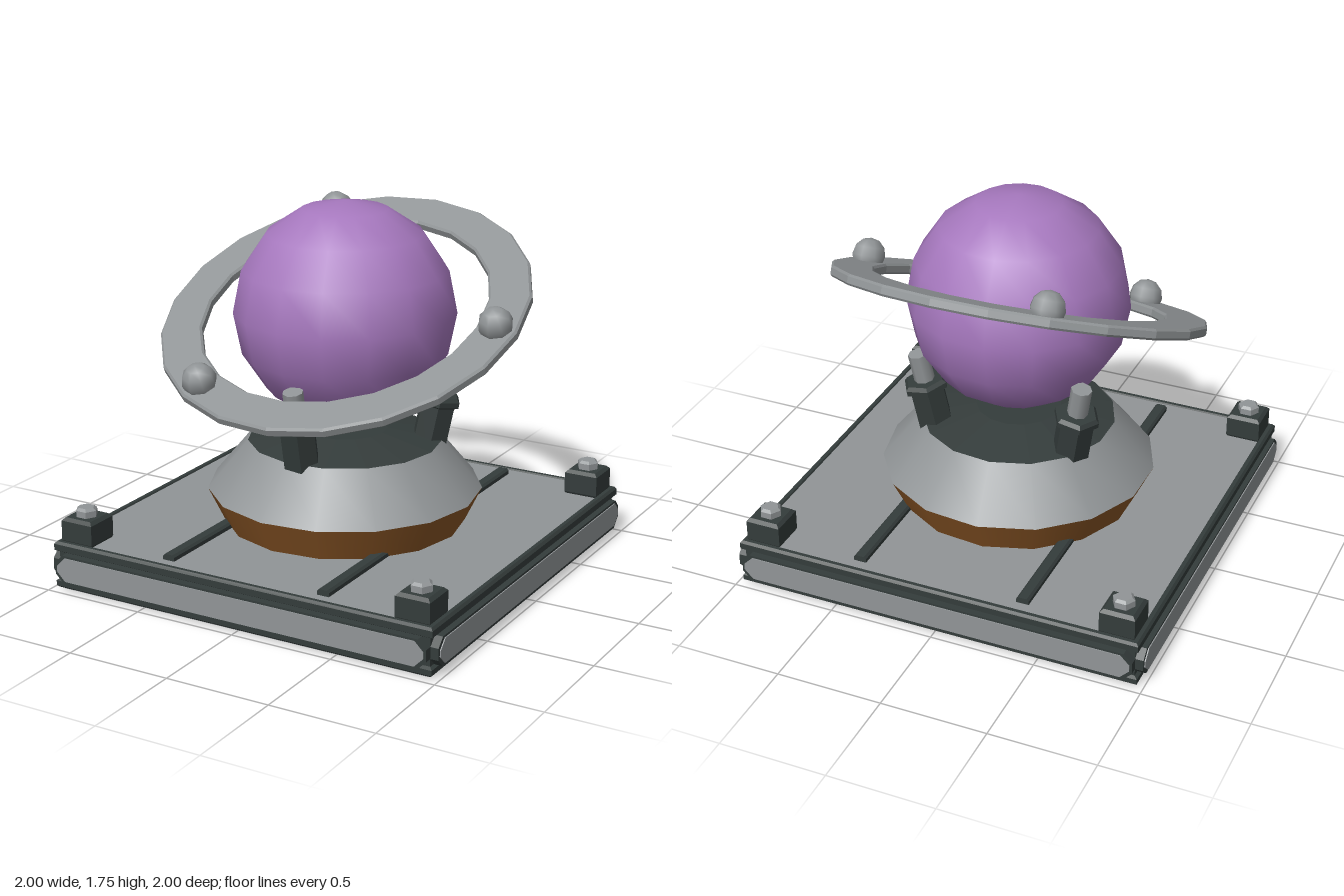
import * as THREE from 'three';

const gray = new THREE.MeshStandardMaterial({ color: 0x919597 });
const dark = new THREE.MeshStandardMaterial({ color: 0x343c3b });
const brown = new THREE.MeshStandardMaterial({ color: 0x8c5726 });
const purple = new THREE.MeshStandardMaterial({ color: 0xa678be });
gray.name = 'metalGray';
dark.name = 'darkMetal';
brown.name = 'brown';
purple.name = 'purple';

// Facet a geometry so that its edges stay sharp
function flat(geometry) {
  const g = geometry.index ? geometry.toNonIndexed() : geometry;
  g.computeVertexNormals();
  return g;
}

function add(parent, name, geometry, material, x = 0, y = 0, z = 0) {
  const mesh = new THREE.Mesh(geometry, material);
  mesh.name = name;
  mesh.position.set(x, y, z);
  parent.add(mesh);
  return mesh;
}

// Turned profile of [radius, y] points, with a corner on +x
function turned(points, sides) {
  const pts = points.map(([r, y]) => new THREE.Vector2(r, y));
  return new THREE.LatheGeometry(pts, sides).rotateY(Math.PI / 2);
}

// Square profile of [halfWidth, y] points
function squared(points) {
  const pts = points.map(([h, y]) => [h * Math.SQRT2, y]);
  return flat(turned(pts, 4).rotateY(Math.PI / 4));
}

// Long plate with clipped corners, facing +z
function clippedPlate(w, y0, y1, clip, depth) {
  const s = new THREE.Shape();
  s.moveTo(-w + clip, y0);
  s.lineTo(w - clip, y0);
  s.lineTo(w, y0 + clip);
  s.lineTo(w, y1 - clip);
  s.lineTo(w - clip, y1);
  s.lineTo(-w + clip, y1);
  s.lineTo(-w, y1 - clip);
  s.lineTo(-w, y0 + clip);
  return new THREE.ExtrudeGeometry(s, { depth, bevelEnabled: false });
}

function createBase() {
  const base = new THREE.Group();
  base.name = 'base';
  // Dark rim with a lower and an upper rail
  add(base, 'baseFrame', squared([
    [0.935, 0.004], [0.96, 0.01], [0.972, 0.02], [0.972, 0.045], [0.957, 0.055], [0.957, 0.185],
    [0.975, 0.195], [0.975, 0.225], [0.965, 0.237], [0.947, 0.237], [0.94, 0.225],
  ]), dark);
  add(base, 'basePlate', new THREE.BoxGeometry(1.89, 0.23, 1.89), gray, 0, 0.115, 0);

  // Side panels
  for (let i = 0; i < 4; i++) {
    const side = new THREE.Group();
    side.name = 'side' + (i + 1);
    side.rotation.y = i * Math.PI / 2;
    add(side, 'panelFrame', clippedPlate(0.957, 0.05, 0.185, 0.04, 0.047), dark, 0, 0, 0.948);
    add(side, 'sidePanel', clippedPlate(0.945, 0.06, 0.175, 0.043, 0.005), gray, 0, 0, 0.995);
    base.add(side);
  }

  // Corner blocks with hexagonal bolts
  for (const x of [-0.865, 0.865]) {
    for (const z of [-0.865, 0.865]) {
      add(base, 'cornerBlock', squared([
        [0.075, 0.225], [0.083, 0.24], [0.083, 0.335], [0.068, 0.35], [0, 0.35],
      ]), dark, x, 0, z);
      add(base, 'cornerBolt', flat(turned([
        [0.052, 0.345], [0.052, 0.38], [0.038, 0.392], [0, 0.392],
      ], 6)), gray, x, 0, z);
    }
  }

  // Floor rails
  for (const x of [-0.4, 0.4]) {
    const rail = clippedPlate(0.03, 0.22, 0.258, 0.01, 1.78);
    add(base, 'floorRail', rail, dark, x, 0, -0.89);
  }
  return base;
}

function createPedestal() {
  const pedestal = new THREE.Group();
  pedestal.name = 'pedestal';
  add(pedestal, 'pedestalFoot', turned([[0.565, 0.225], [0.645, 0.39]], 15), brown);
  add(pedestal, 'pedestalBody', turned([[0.645, 0.39], [0.455, 0.62]], 15), gray);
  add(pedestal, 'pedestalCap', flat(turned([[0.455, 0.62], [0.2, 0.672], [0, 0.672]], 15)), dark);

  // Three outward-leaning pistons
  for (let i = 0; i < 3; i++) {
    const arm = new THREE.Group();
    arm.name = 'piston' + (i + 1);
    arm.rotation.y = i * Math.PI * 2 / 3;
    const lean = new THREE.Group();
    lean.position.set(0, 0.63, 0.4);
    lean.rotation.x = 0.2;
    arm.add(lean);
    add(lean, 'pistonSleeve', flat(turned([
      [0.088, -0.08], [0.088, 0.155], [0.108, 0.165], [0.108, 0.19], [0.092, 0.207], [0, 0.207],
    ], 6)), dark);
    add(lean, 'pistonRod', turned([[0.048, 0.2], [0.048, 0.345]], 8), gray);
    add(lean, 'pistonRodTop', new THREE.CircleGeometry(0.048, 8).rotateX(-Math.PI / 2), gray, 0, 0.345, 0);
    pedestal.add(arm);
  }
  return pedestal;
}

function createRing() {
  const ring = new THREE.Group();
  ring.name = 'tiltedRing';
  ring.position.y = 1.235;
  ring.rotation.x = THREE.MathUtils.degToRad(24);
  add(ring, 'ringBand', flat(turned([
    [0.862, -0.025], [0.872, -0.015], [0.872, 0.015], [0.862, 0.025],
    [0.685, 0.025], [0.675, 0.015], [0.675, -0.015], [0.685, -0.025], [0.862, -0.025],
  ], 21)), gray);
  // Round knobs on the upper face
  for (let i = 0; i < 3; i++) {
    const a = i * Math.PI * 2 / 3;
    add(ring, 'ringKnob', new THREE.SphereGeometry(0.082, 8, 6), gray,
      0.775 * Math.cos(a), 0.05, 0.775 * Math.sin(a));
  }
  return ring;
}

export function createModel() {
  const model = new THREE.Group();
  model.name = 'ringedSphereDevice';
  model.add(createBase(), createPedestal(), createRing());
  add(model, 'sphere', new THREE.SphereGeometry(0.516, 15, 8).rotateY(Math.PI), purple, 0, 1.235, 0);
  return model;
}
